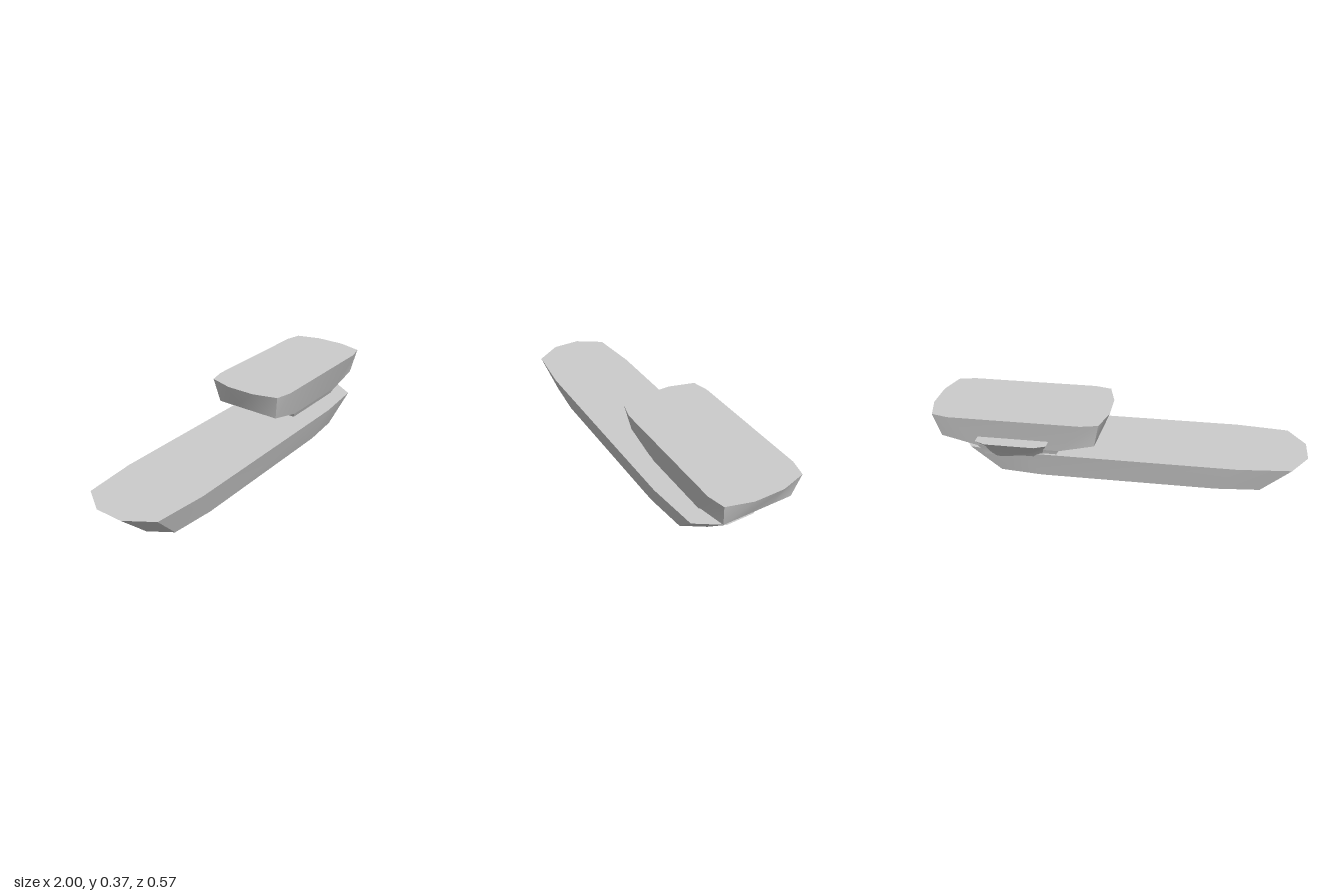
import * as THREE from 'three';
import { toCreasedNormals } from 'three/addons/utils/BufferGeometryUtils.js';

// Closed loft through sections listed bottom to top.
// A section is a row of columns [x, y, zFront, zBack] running left to right in x.
function loft(sections) {
  const n = sections[0].length;
  const ringSize = 2 * n;
  const pos = [];
  const index = [];
  for (const cols of sections) {
    for (const [x, y, zf] of cols) pos.push(x, y, zf);
    for (const [x, y, , zb] of [...cols].reverse()) pos.push(x, y, zb);
  }
  // walls
  for (let s = 0; s < sections.length - 1; s++) {
    for (let i = 0; i < ringSize; i++) {
      const a = s * ringSize + i;
      const b = s * ringSize + (i + 1) % ringSize;
      index.push(a, b, b + ringSize, a, b + ringSize, a + ringSize);
    }
  }
  // bottom and top caps, strip by strip
  const top = (sections.length - 1) * ringSize;
  for (let i = 0; i < n - 1; i++) {
    const f0 = i, f1 = i + 1, b1 = ringSize - 2 - i, b0 = ringSize - 1 - i;
    index.push(f0, b1, f1, f0, b0, b1);
    index.push(top + f0, top + f1, top + b1, top + f0, top + b1, top + b0);
  }
  const geo = new THREE.BufferGeometry();
  geo.setAttribute('position', new THREE.Float32BufferAttribute(pos, 3));
  geo.setIndex(index);
  return toCreasedNormals(geo, 0.72);
}

// Section mirrored in x about cx; half lists [halfX, y, zFront, zBack] from the end inwards
function mirrored(cx, half) {
  const left = half.map(([hx, y, zf, zb]) => [cx - hx, y, zf, zb]);
  const right = half.map(([hx, y, zf, zb]) => [cx + hx, y, zf, zb]).reverse();
  return [...left, ...right];
}

// Section also symmetric in z about cz; half lists [halfX, y, halfZ]
const symmetric = (cx, cz, half) =>
  mirrored(cx, half.map(([hx, y, hz]) => [hx, y, cz + hz, cz - hz]));

export function createModel() {
  const model = new THREE.Group();
  model.name = 'twoTierHull';
  const material = new THREE.MeshStandardMaterial({ color: 0xcccccc });
  const add = (name, sections) => {
    const mesh = new THREE.Mesh(loft(sections), material);
    mesh.name = name;
    model.add(mesh);
  };

  // long lower hull, flaring upwards
  const outline = [[0.94, 0.075], [0.85, 0.211], [0.57, 0.238]];
  const hullSection = (y, scale) =>
    symmetric(-0.06, 0.045, outline.map(([x, z]) => [x * scale, y, z * scale]));
  add('lowerHull', [hullSection(0, 0.825), hullSection(0.155, 1)]);

  // upper hull, with a keel that rises towards both ends
  add('upperHull', [
    symmetric(0.522, -0.005, [[0.412, 0.23, 0.075], [0.412, 0.23, 0.188], [0.222, 0.185, 0.19]]),
    symmetric(0.522, -0.005, [[0.478, 0.368, 0.08], [0.44, 0.368, 0.213], [0.35, 0.368, 0.235]]),
  ]);

  // neck joining the two hulls
  add('neck', [
    symmetric(0.522, -0.005, [[0.19, 0.12, 0.165], [0.19, 0.12, 0.165]]),
    symmetric(0.522, -0.005, [[0.205, 0.155, 0.175], [0.205, 0.155, 0.175]]),
    symmetric(0.522, -0.005, [[0.222, 0.186, 0.188], [0.222, 0.186, 0.188]]),
  ]);

  // flared platform behind the neck
  add('rearPlatform', [
    mirrored(0.54, [[0.14, 0.11, -0.12, -0.155], [0.1, 0.11, -0.12, -0.168]]),
    mirrored(0.54, [[0.155, 0.185, -0.14, -0.2], [0.105, 0.185, -0.14, -0.225]]),
    mirrored(0.54, [[0.19, 0.247, -0.18, -0.258], [0.13, 0.247, -0.18, -0.284]]),
  ]);

  return model;
}
